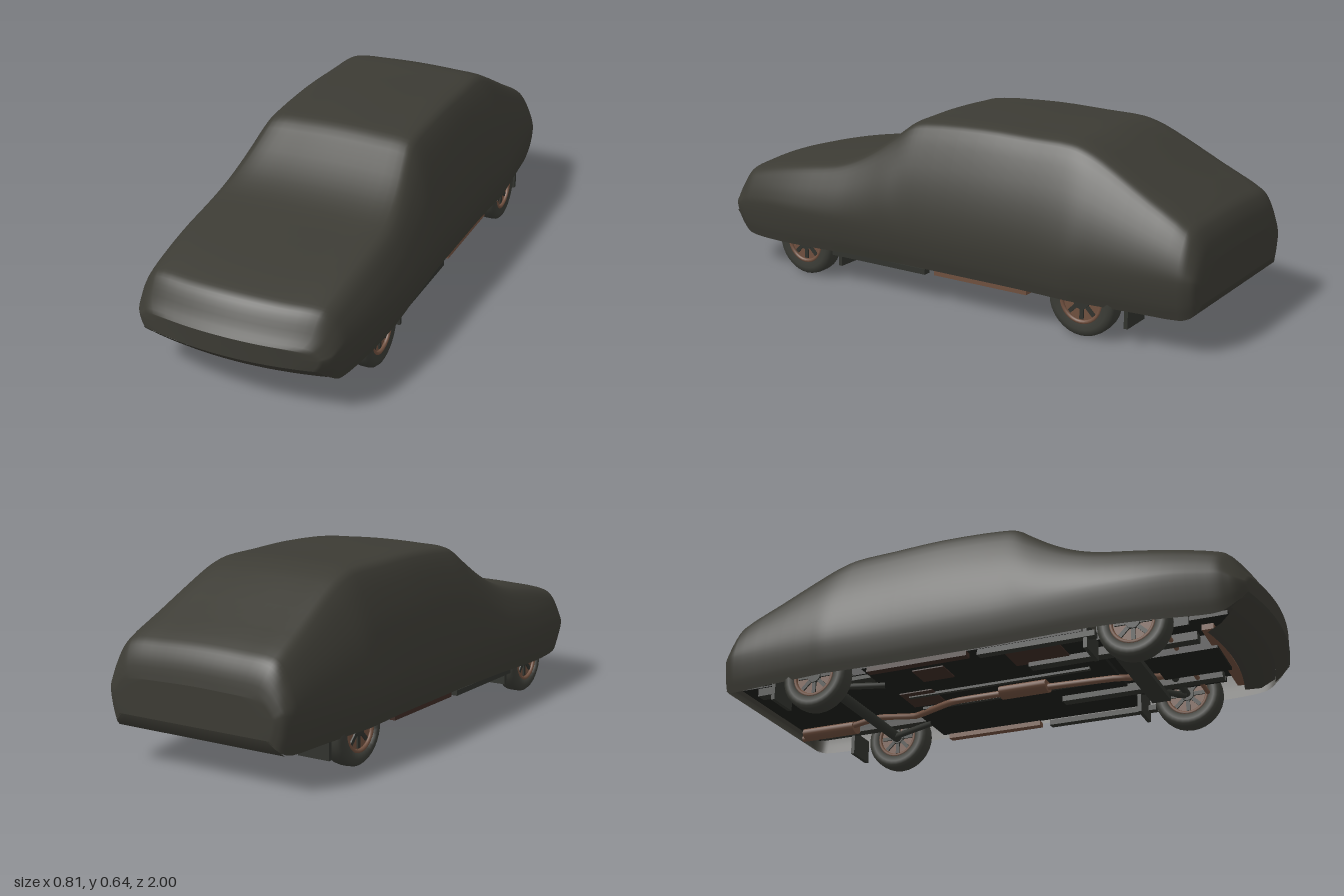
import * as THREE from 'three';

const mat = (name, color, double) => {
  const m = new THREE.MeshStandardMaterial({ color });
  m.name = name;
  if (double) m.side = THREE.DoubleSide;
  return m;
};

// Smooth surface from rows of points
function gridGeometry(rows) {
  const n = rows[0].length, pos = [], index = [];
  rows.forEach(r => r.forEach(p => pos.push(p.x, p.y, p.z)));
  for (let i = 0; i < rows.length - 1; i++)
    for (let j = 0; j < n - 1; j++) {
      const a = i * n + j, b = a + n;
      index.push(a, b, a + 1, a + 1, b, b + 1);
    }
  const g = new THREE.BufferGeometry();
  g.setAttribute('position', new THREE.Float32BufferAttribute(pos, 3));
  g.setIndex(index);
  g.computeVertexNormals();
  return g;
}

// The nose bows back towards its corners
const bow = p => {
  p.z -= 0.42 * p.x * p.x * THREE.MathUtils.smoothstep(p.z, 0.6, 1);
  return p;
};

// Cross-section of the cover: top height T, hem B, shoulder S and belt W half-widths
function section([z, T, B, S, W]) {
  const drop = Math.min(0.032, (T - B) * 0.15);
  const belt = Math.min(0.25, (T + B) / 2), sy = T - drop;
  const side = t => {
    const bulge = 0.025 * Math.sin(Math.PI * t) * Math.min(1, (sy - belt) / 0.3);
    return [S + (W - S) * t + bulge, sy + (belt - sy) * t];
  };
  const half = [
    [S * 0.5, T - drop * 0.12], [S * 0.9, T - drop * 0.4], [S, sy],
    side(0.35), side(0.7), [W, belt],
    [W - 0.008, belt + (B - belt) * 0.6], [W - 0.022, B],
  ].map(([x, y]) => new THREE.Vector3(x, y, z));
  const mirrored = half.map(p => new THREE.Vector3(-p.x, p.y, z)).reverse();
  return [...mirrored, new THREE.Vector3(0, T, z), ...half];
}

function coverGeometry() {
  const stations = [
    [-1.0, 0.30, 0.17, 0.28, 0.315], [-0.988, 0.36, 0.14, 0.295, 0.345],
    [-0.965, 0.405, 0.125, 0.305, 0.36], [-0.94, 0.427, 0.12, 0.31, 0.367],
    [-0.8, 0.50, 0.12, 0.3, 0.38], [-0.62, 0.595, 0.12, 0.283, 0.395],
    [-0.56, 0.62, 0.12, 0.28, 0.4], [-0.5, 0.635, 0.12, 0.278, 0.398],
    [-0.35, 0.64, 0.12, 0.28, 0.391], [-0.15, 0.645, 0.12, 0.282, 0.39],
    [0.08, 0.634, 0.12, 0.282, 0.39], [0.14, 0.622, 0.12, 0.284, 0.391],
    [0.2, 0.58, 0.12, 0.295, 0.394], [0.28, 0.524, 0.12, 0.312, 0.397],
    [0.36, 0.48, 0.12, 0.326, 0.4], [0.45, 0.448, 0.118, 0.336, 0.404],
    [0.6, 0.422, 0.113, 0.338, 0.402], [0.75, 0.398, 0.108, 0.334, 0.39],
    [0.88, 0.372, 0.108, 0.33, 0.375], [0.92, 0.36, 0.115, 0.326, 0.369],
    [0.945, 0.335, 0.13, 0.322, 0.362], [0.975, 0.285, 0.155, 0.315, 0.35],
    [1.0, 0.25, 0.18, 0.29, 0.32],
  ];
  const keys = stations.map(section);
  const columns = keys[0].map((_, j) => new THREE.CatmullRomCurve3(keys.map(k => k[j])));
  const body = [], count = (stations.length - 1) * 3;
  for (let i = 0; i <= count; i++)
    body.push(new THREE.CatmullRomCurve3(columns.map(c => c.getPoint(i / count))).getPoints(64));

  // Close both ends towards the centre line
  const close = row => [0.75, 0.5, 0.25, 0].map(k =>
    row.map(p => new THREE.Vector3(p.x * k, p.y, p.z)));
  const rows = [...close(body[0]).reverse(), ...body, ...close(body[count])];
  rows.forEach(r => r.forEach(bow));
  return gridGeometry(rows);
}

// Hem tucked under the nose or tail; path holds [y, z, half-width]
function hemGeometry(path) {
  return gridGeometry(path.map(([y, z, w]) => Array.from({ length: 25 }, (_, j) => {
    const x = w * (j / 12 - 1);
    const zBow = z > 0 ? 0.42 * x * x : 0;
    return new THREE.Vector3(x, y, z - zBow);
  })));
}

export function createModel() {
  const car = new THREE.Group();
  car.name = 'coveredCar';
  const cloth = mat('coverCloth', 0x3c3b34, true);
  const rubber = mat('tyreRubber', 0x3a3b35);
  const rust = mat('rustyMetal', 0x70503f);
  const darkRust = mat('darkRust', 0x3d2b25);
  const pan = mat('floorBlack', 0x1d1e1a);
  const steel = mat('darkSteel', 0x31332e);

  const add = (name, geometry, material, x = 0, y = 0, z = 0, parent = car) => {
    const m = new THREE.Mesh(geometry, material);
    m.name = name;
    m.position.set(x, y, z);
    parent.add(m);
    return m;
  };
  const box = (name, w, h, d, material, x, y, z, parent) =>
    add(name, new THREE.BoxGeometry(w, h, d), material, x, y, z, parent);
  const tube = (name, pts, r, material) => add(name, new THREE.TubeGeometry(
    new THREE.CatmullRomCurve3(pts.map(p => new THREE.Vector3(...p)), false, 'catmullrom', 0.15),
    40, r, 8), material);

  // Fabric cover
  add('cover', coverGeometry(), cloth);
  add('frontHem', hemGeometry([[0.18, 1, 0.32], [0.155, 0.975, 0.325], [0.13, 0.945, 0.33]]), cloth);
  add('rearHem', hemGeometry([[0.12, -0.965, 0.335], [0.14, -0.988, 0.325], [0.17, -1, 0.3]]), cloth);
  add('frontValance', hemGeometry([[0.135, 0.945, 0.31], [0.1, 0.89, 0.29], [0.09, 0.83, 0.26]]), cloth);

  // Wheels with mud flaps
  const tyre = new THREE.LatheGeometry([
    [0.075, -0.034], [0.1, -0.038], [0.115, -0.035], [0.123, -0.026], [0.125, -0.012],
    [0.125, 0.012], [0.123, 0.026], [0.115, 0.035], [0.1, 0.038], [0.075, 0.034], [0.075, -0.034],
  ].map(p => new THREE.Vector2(...p)), 32);
  const rimRing = new THREE.TorusGeometry(0.074, 0.007, 8, 32);
  const rim = new THREE.CylinderGeometry(0.076, 0.076, 0.045, 28);
  const hub = new THREE.CylinderGeometry(0.025, 0.03, 0.064, 16);
  for (const side of [-1, 1])
    for (const [end, z] of [['front', 0.58], ['rear', -0.6]]) {
      const wheel = new THREE.Group();
      wheel.name = end + (side > 0 ? 'LeftWheel' : 'RightWheel');
      wheel.position.set(side * 0.332, 0.125, z);
      car.add(wheel);
      for (const [name, g, m] of [['tyre', tyre, rubber], ['rim', rim, rust], ['hub', hub, steel]])
        add(name, g, m, 0, 0, 0, wheel).rotation.z = Math.PI / 2;
      for (const s of [-1, 1])
        add('rimRing', rimRing, rust, s * 0.03, 0, 0, wheel).rotation.y = Math.PI / 2;
      for (let i = 0; i < 4; i++)
        box('spokePair', 0.056, 0.014, 0.13, steel, 0, 0, 0, wheel).rotation.x = i * Math.PI / 4;
      box('mudFlap', 0.12, 0.09, 0.014, steel, side * 0.301, 0.105, z - 0.165);
    }

  // Floor pan, rails and ribs
  box('floorPan', 0.7, 0.015, 0.82, pan, 0, 0.133, -0.01);
  box('frontTray', 0.5, 0.015, 0.48, pan, 0, 0.155, 0.63);
  box('rearFloor', 0.5, 0.015, 0.56, pan, 0, 0.175, -0.69);
  box('tailFloor', 0.66, 0.015, 0.2, pan, 0, 0.18, -0.87);
  for (const s of [-1, 1]) {
    box('sill', 0.03, 0.02, 0.42, steel, s * 0.35, 0.107, 0.24);
    box('rustySill', 0.03, 0.018, 0.38, s > 0 ? rust : darkRust, s * 0.35, 0.112, -0.2);
    box('chassisRail', 0.04, 0.03, 0.6, steel, s * 0.17, 0.12, 0.45);
    box('rearRail', 0.04, 0.03, 0.5, steel, s * 0.23, 0.15, -0.65);
    box('tunnelEdge', 0.015, 0.012, 0.7, steel, s * 0.06, 0.122, -0.02);
    box('wheelArchLiner', 0.015, 0.2, 0.32, pan, s * 0.25, 0.23, 0.58);
    box('rearArchLiner', 0.015, 0.2, 0.32, pan, s * 0.25, 0.25, -0.6);
  }
  box('floorRustPatch', 0.13, 0.006, 0.2, darkRust, -0.24, 0.124, 0.2);
  box('rearRustPatch', 0.13, 0.006, 0.13, darkRust, -0.03, 0.124, -0.33);
  box('sideRustPatch', 0.1, 0.006, 0.12, darkRust, -0.22, 0.124, -0.2);
  box('crossMember', 0.48, 0.02, 0.07, steel, 0, 0.092, 0.5);
  box('engineSump', 0.2, 0.06, 0.24, pan, -0.02, 0.125, 0.68);
  box('frontBrace', 0.5, 0.02, 0.04, rust, 0, 0.115, 0.8);

  // Axles and suspension arms
  const shaft = (name, r, len, material, y, z) =>
    add(name, new THREE.CylinderGeometry(r, r, len, 12), material, 0, y, z).rotation.z = Math.PI / 2;
  shaft('frontAxle', 0.013, 0.62, steel, 0.125, 0.58);
  shaft('rearAxle', 0.02, 0.62, steel, 0.125, -0.6);
  shaft('steeringRod', 0.008, 0.58, rust, 0.115, 0.66);
  for (const s of [-1, 1]) {
    tube('trailingArm', [[s * 0.27, 0.115, -0.6], [s * 0.2, 0.12, -0.4]], 0.012, steel);
    tube('frontArm', [[s * 0.28, 0.11, 0.58], [s * 0.16, 0.105, 0.48]], 0.012, steel);
  }

  // Exhaust line with two silencers
  tube('exhaustPipe', [[0.11, 0.15, 0.66], [0.09, 0.112, 0.58], [0.02, 0.105, 0.4], [0, 0.105, 0.1],
    [0, 0.105, -0.22], [0.1, 0.115, -0.42], [0.14, 0.15, -0.6], [0.18, 0.14, -0.8], [0.19, 0.13, -0.96]], 0.012, rust);
  const silencer = (name, len, x, y, z) => {
    const m = add(name, new THREE.CylinderGeometry(0.035, 0.035, len, 20), rust, x, y, z);
    m.rotation.x = Math.PI / 2;
    m.scale.z = 0.65;
  };
  silencer('middleSilencer', 0.18, 0, 0.108, 0.06);
  silencer('rearSilencer', 0.22, 0.18, 0.14, -0.83);
  return car;
}
